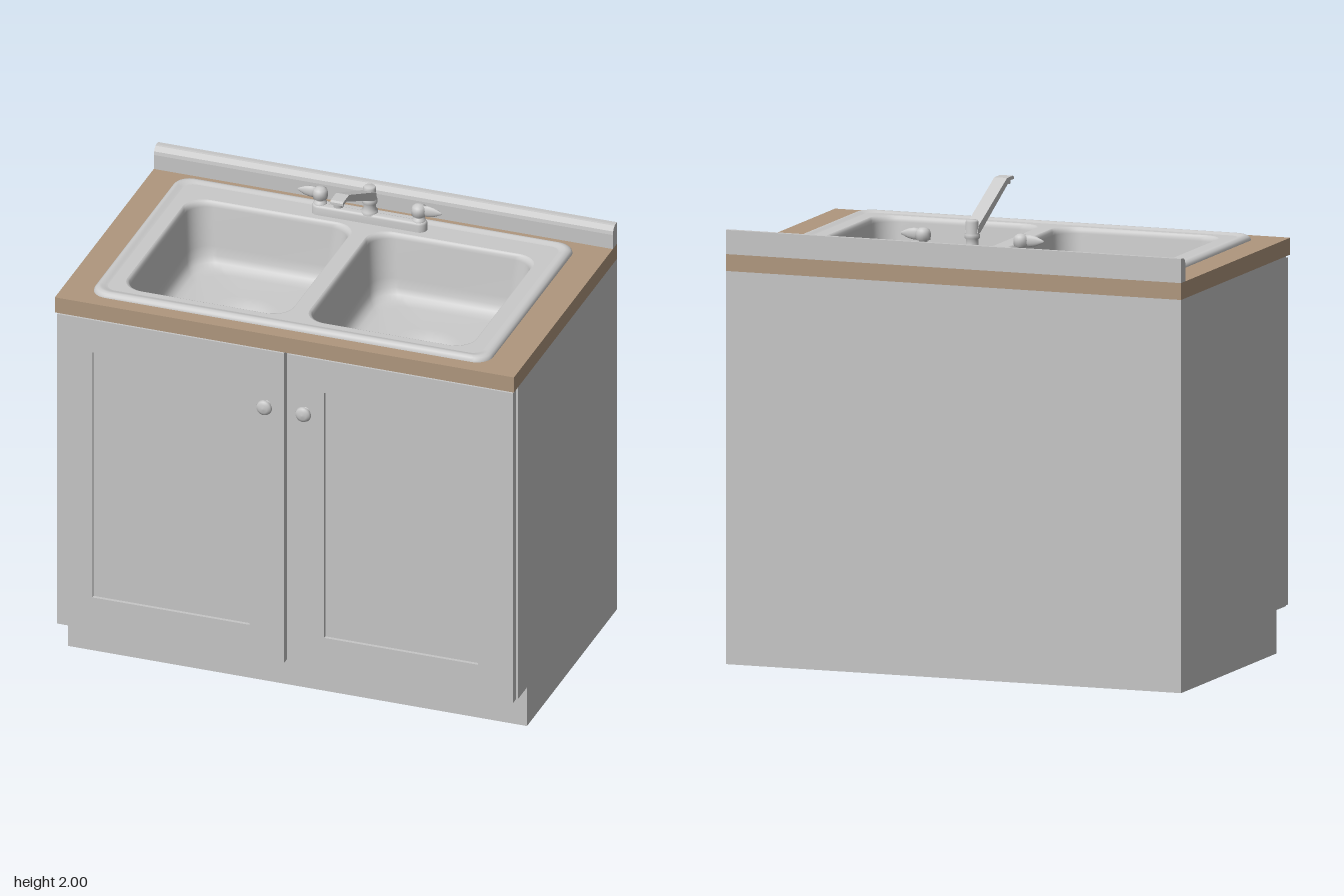
import * as THREE from 'three';

const paint = new THREE.MeshStandardMaterial({ color: 0xc6c6c6 });
paint.name = 'grey paint';
const wood = new THREE.MeshStandardMaterial({ color: 0xaf977e });
wood.name = 'brown worktop';
const steel = new THREE.MeshStandardMaterial({ color: 0xcacaca, side: THREE.DoubleSide });
steel.name = 'sink steel';

const v2 = (pts) => pts.map(([x, y]) => new THREE.Vector2(x, y));

function add(parent, name, geo, mat, x = 0, y = 0, z = 0) {
  const m = new THREE.Mesh(geo, mat);
  m.name = name;
  m.position.set(x, y, z);
  parent.add(m);
  return m;
}

// Box given by its limits
function box(parent, name, mat, x0, x1, y0, y1, z0, z1) {
  return add(parent, name, new THREE.BoxGeometry(x1 - x0, y1 - y0, z1 - z0), mat,
    (x0 + x1) / 2, (y0 + y1) / 2, (z0 + z1) / 2);
}

// Extrude a [z, y] profile along x, centred on x = 0
function extrudeX(pts, width) {
  const g = new THREE.ExtrudeGeometry(new THREE.Shape(v2(pts)), { depth: width, bevelEnabled: false });
  return g.rotateY(-Math.PI / 2).translate(width / 2, 0, 0);
}

// Rounded rectangle as [x, z] points; a circle when r equals both half sizes
function roundRect({ cx, cz, hw, hd, r }, seg = 8) {
  const pts = [];
  [[1, 1], [-1, 1], [-1, -1], [1, -1]].forEach(([sx, sz], q) => {
    for (let i = 0; i <= seg; i++) {
      const a = (q + i / seg) * Math.PI / 2;
      pts.push([cx + sx * (hw - r) + r * Math.cos(a), cz + sz * (hd - r) + r * Math.sin(a)]);
    }
  });
  return pts;
}

// Smooth skin through a list of rounded rectangles, from outside to inside
function loft(rings) {
  const pos = [], idx = [];
  const n = roundRect(rings[0]).length;
  rings.forEach((ring) => roundRect(ring).forEach(([x, z]) => pos.push(x, ring.y, z)));
  for (let i = 0; i < rings.length - 1; i++) {
    for (let j = 0; j < n; j++) {
      const a = i * n + j, b = i * n + (j + 1) % n;
      idx.push(a, a + n, b, b, a + n, b + n);
    }
  }
  const g = new THREE.BufferGeometry();
  g.setAttribute('position', new THREE.Float32BufferAttribute(pos, 3));
  g.setIndex(idx);
  g.computeVertexNormals();
  return g;
}

// Horizontal sheet shape with holes, drawn in x and -z
function sheet(outer, holes) {
  const flip = (ring) => v2(roundRect(ring).map(([x, z]) => [x, -z]));
  const s = new THREE.Shape(flip(outer));
  s.holes = holes.map((h) => new THREE.Path(flip(h)));
  return s;
}

function buildCabinet(root) {
  const g = new THREE.Group();
  g.name = 'cabinet';
  root.add(g);
  const side = [[-0.63, 0], [0.44, 0], [0.44, 0.18], [0.545, 0.18], [0.545, 1.63], [-0.63, 1.63]];
  for (const s of [-1, 1]) add(g, 'sidePanel', extrudeX(side, 0.02), paint, s * 0.99);
  box(g, 'backPanel', paint, -0.98, 0.98, 0, 1.63, -0.63, -0.61);
  box(g, 'frontPanel', paint, -0.98, 0.98, 0.18, 1.63, 0.525, 0.545);
  box(g, 'toeKick', paint, -0.98, 0.98, 0, 0.2, 0.42, 0.44);
  box(g, 'toeKickTop', paint, -0.98, 0.98, 0.18, 0.2, 0.42, 0.53);
  box(g, 'bottomPanel', paint, -0.98, 0.98, 0, 0.02, -0.62, 0.43);
  box(g, 'innerFloor', wood, -0.98, 0.98, 0.2, 0.208, -0.61, 0.525);
}

function buildDoor(root, name, x0, x1, px0, px1, knobX) {
  const g = new THREE.Group();
  g.name = name;
  root.add(g);
  const rect = (a, b, c, d) => v2([[a, c], [b, c], [b, d], [a, d]]);
  const frame = new THREE.Shape(rect(x0, x1, 0.18, 1.62));
  frame.holes.push(new THREE.Path(rect(px0, px1, 0.33, 1.47)));
  add(g, 'doorFrame', new THREE.ExtrudeGeometry(frame, { depth: 0.037, bevelEnabled: false }), paint, 0, 0, 0.55);
  box(g, 'doorPanel', paint, px0 - 0.01, px1 + 0.01, 0.32, 1.48, 0.551, 0.572);
  box(g, 'doorSpacer', paint, x0 + 0.01, x1 - 0.01, 0.19, 1.61, 0.54, 0.551);
  const knob = new THREE.LatheGeometry(v2([[0.018, 0], [0.012, 0.008], [0.012, 0.018], [0.028, 0.022],
    [0.034, 0.03], [0.03, 0.04], [0.018, 0.046], [0, 0.048]]), 24).rotateX(Math.PI / 2);
  add(g, 'knob', knob, paint, knobX, 1.37, 0.587);
}

function buildCounter(root) {
  // Worktop with the sink cut-out
  const top = sheet({ cx: 0, cz: -0.0175, hw: 1, hd: 0.6125, r: 0.001 },
    [{ cx: -0.0075, cz: -0.005, hw: 0.83, hd: 0.5, r: 0.05 }]);
  const geo = new THREE.ExtrudeGeometry(top, { depth: 0.07, bevelEnabled: false }).rotateX(-Math.PI / 2);
  add(root, 'worktop', geo, wood, 0, 1.63, 0);
  const splash = [[-0.63, 1.7], [-0.58, 1.7], [-0.58, 1.765], [-0.583, 1.78], [-0.59, 1.791],
    [-0.6, 1.798], [-0.61, 1.8], [-0.63, 1.8]];
  add(root, 'backsplash', extrudeX(splash, 2), paint);
}

function buildSink(root) {
  const g = new THREE.Group();
  g.name = 'sink';
  root.add(g);
  // Raised bead around the outside, given as [inset, height]
  const rim = [[0, 1.7], [0.002, 1.709], [0.008, 1.716], [0.018, 1.721], [0.028, 1.721], [0.04, 1.716], [0.05, 1.714]]
    .map(([d, y]) => ({ cx: -0.0075, cz: -0.005, hw: 0.8675 - d, hd: 0.535 - d, r: 0.07 - d * 0.5, y }));
  add(g, 'sinkRim', loft(rim), steel);

  const openings = [-0.405, 0.39].map((cx) => ({ cx, cz: 0.0325, hw: 0.365, hd: 0.4175, r: 0.09 }));
  const deck = new THREE.ShapeGeometry(sheet(rim[rim.length - 1], openings)).rotateX(-Math.PI / 2);
  add(g, 'sinkDeck', deck, steel, 0, 1.714, 0);

  for (const o of openings) {
    // Rolled lip, tapered walls, coved floor, then a round dip to the drain
    const walls = [[0, 1.714], [0.006, 1.711], [0.011, 1.703], [0.014, 1.69], [0.03, 1.52], [0.036, 1.48],
      [0.048, 1.455], [0.068, 1.44], [0.1, 1.434]]
      .map(([d, y]) => ({ ...o, hw: o.hw - d, hd: o.hd - d, r: 0.09 + d * 0.2, y }));
    const dip = [[0.18, 1.43], [0.15, 1.428], [0.125, 1.423], [0.105, 1.415], [0.09, 1.408]]
      .map(([r, y]) => ({ ...o, hw: r, hd: r, r, y }));
    add(g, 'basin', loft([...walls, ...dip]), steel);
    const drain = new THREE.LatheGeometry(v2([[0.066, 1.37], [0.068, 1.398], [0.074, 1.402], [0.078, 1.409],
      [0.086, 1.412], [0.092, 1.408]]), 32);
    add(g, 'drainRing', drain, steel, o.cx, 0, o.cz);
  }
}

function buildFaucet(root) {
  const g = new THREE.Group();
  g.name = 'faucet';
  g.position.set(-0.01, 0, -0.445);
  root.add(g);
  const base = [[0.25, 0.032, 1.712], [0.25, 0.032, 1.745], [0.246, 0.028, 1.753], [0.24, 0.022, 1.756], [0.2, 0.001, 1.756]]
    .map(([hw, hd, y]) => ({ cx: 0, cz: 0, hw, hd, r: hd, y }));
  add(g, 'faucetBase', loft(base), steel);

  const column = [[0.034, 1.75], [0.034, 1.764], [0.026, 1.77], [0.026, 1.795], [0.032, 1.8], [0.032, 1.815],
    [0.027, 1.82], [0.027, 1.866], [0.022, 1.874], [0, 1.876]];
  add(g, 'faucetColumn', new THREE.LatheGeometry(v2(column), 24), steel);
  // Spout rises forward and levels off above the basins
  const spout = [[-0.01, 1.82], [0.02, 1.82], [0.05, 1.835], [0.35, 1.985], [0.395, 1.985], [0.395, 1.995],
    [0.385, 2], [0.32, 2], [0, 1.85]];
  add(g, 'spout', extrudeX(spout, 0.056), steel);
  add(g, 'nozzle', new THREE.CylinderGeometry(0.024, 0.021, 0.024, 24), steel, 0, 1.98, 0.37);

  for (const s of [-1, 1]) {
    const h = new THREE.Group();
    h.name = s > 0 ? 'leftHandle' : 'rightHandle';
    h.position.x = s * 0.215;
    g.add(h);
    const post = [[0.027, 1.75], [0.027, 1.762], [0.017, 1.768], [0.017, 1.775], [0.03, 1.78], [0.032, 1.805],
      [0.027, 1.82], [0.015, 1.828], [0, 1.83]];
    add(h, 'handlePost', new THREE.LatheGeometry(v2(post), 24), steel);
    const lever = [[0, 0], [0.022, 0.01], [0.025, 0.04], [0.02, 0.065], [0.011, 0.085], [0.005, 0.097], [0, 0.1]];
    const geo = new THREE.LatheGeometry(v2(lever), 16).scale(1, 1, 0.5).rotateZ(-s * Math.PI / 2);
    add(h, 'lever', geo, steel, 0, 1.802, 0);
  }
}

export function createModel() {
  const root = new THREE.Group();
  root.name = 'sinkCabinet';
  buildCabinet(root);
  buildDoor(root, 'rightDoor', -0.993, -0.005, -0.84, -0.155, -0.08);
  buildDoor(root, 'leftDoor', 0.015, 0.993, 0.17, 0.84, 0.09);
  buildCounter(root);
  buildSink(root);
  buildFaucet(root);
  return root;
}
